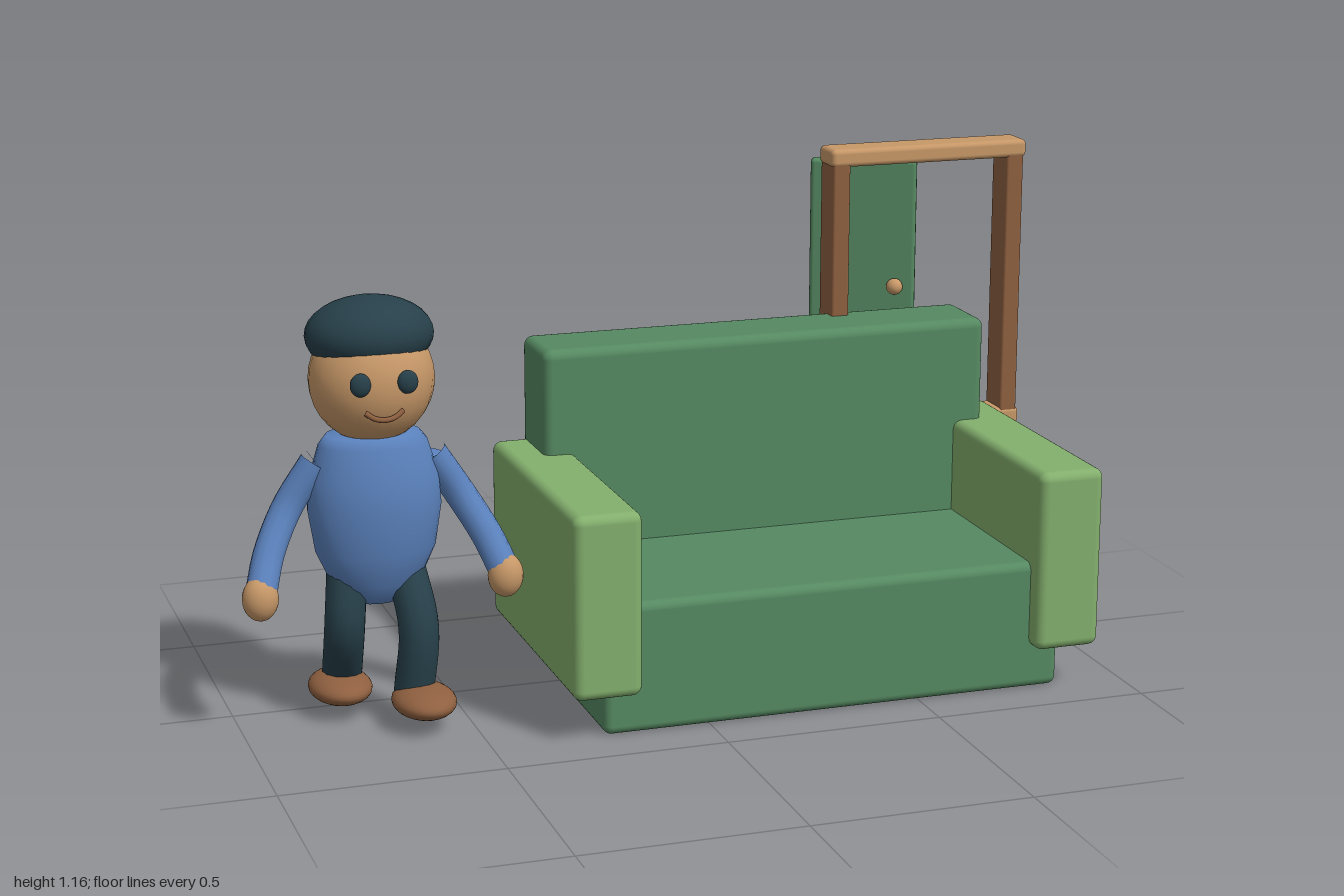
import * as THREE from 'three';
import { RoundedBoxGeometry } from 'three/addons/geometries/RoundedBoxGeometry.js';

const V = (x, y, z) => new THREE.Vector3(x, y, z);

function material(name, color) {
  const m = new THREE.MeshStandardMaterial({ color });
  m.name = name;
  return m;
}

export function createModel() {
  const green = material('sofa green', 0x568a62);
  const lime = material('arm green', 0x83af6d);
  const brown = material('brown', 0x8f6040);
  const tan = material('tan', 0xc79868);
  const blue = material('shirt blue', 0x5b82bd);
  const dark = material('dark slate', 0x27404a);

  function add(parent, name, geometry, mat) {
    const mesh = new THREE.Mesh(geometry, mat);
    mesh.name = name;
    parent.add(mesh);
    return mesh;
  }
  function group(parent, name) {
    const g = new THREE.Group();
    g.name = name;
    parent.add(g);
    return g;
  }
  // rounded box given by its extents
  function box(parent, name, mat, [x0, x1], [y0, y1], [z0, z1], r) {
    const mesh = add(parent, name, new RoundedBoxGeometry(x1 - x0, y1 - y0, z1 - z0, 3, r), mat);
    mesh.position.set((x0 + x1) / 2, (y0 + y1) / 2, (z0 + z1) / 2);
    return mesh;
  }
  function ball(parent, name, mat, pos, radii) {
    const mesh = add(parent, name, new THREE.SphereGeometry(1, 24, 16), mat);
    mesh.position.set(...pos);
    mesh.scale.set(...radii);
    return mesh;
  }
  // bent tube closed by flat discs
  function limb(parent, name, mat, points, r) {
    const curve = new THREE.CatmullRomCurve3(points);
    const g = group(parent, name);
    add(g, name + 'Tube', new THREE.TubeGeometry(curve, 12, r, 12), mat);
    for (const t of [0, 1]) {
      const cap = add(g, name + 'Cap', new THREE.CircleGeometry(r, 12), mat);
      const p = curve.getPoint(t);
      cap.position.copy(p);
      cap.lookAt(p.clone().addScaledVector(curve.getTangent(t), t ? 1 : -1));
    }
  }

  const root = new THREE.Group();
  root.name = 'sofaScene';

  // Sofa
  const sofa = group(root, 'sofa');
  box(sofa, 'seat', green, [-0.247, 0.843], [0, 0.3], [-0.2, 0.385], 0.02);
  box(sofa, 'backrest', green, [-0.247, 0.843], [0.092, 0.765], [-0.255, -0.07], 0.022);
  box(sofa, 'rightArm', lime, [-0.327, -0.17], [0.1, 0.52], [-0.247, 0.428], 0.022);
  box(sofa, 'leftArm', lime, [0.768, 0.925], [0.1, 0.52], [-0.247, 0.428], 0.022);

  // Door frame
  const frame = group(root, 'doorFrame');
  const depth = [-0.288, -0.203];
  box(frame, 'rightPost', brown, [0.505, 0.548], [0.48, 1.14], depth, 0.006);
  box(frame, 'leftPost', brown, [0.95, 0.993], [0.48, 1.14], depth, 0.006);
  box(frame, 'topRail', tan, [0.5, 1.0], [1.122, 1.165], [-0.29, -0.201], 0.012);
  box(frame, 'bottomRail', tan, [0.5, 1.0], [0.46, 0.503], [-0.29, -0.201], 0.012);

  // Open door leaf with knob
  const door = group(root, 'door');
  door.position.set(0.645, 0.813, -0.362);
  door.rotation.y = -0.44;
  box(door, 'doorPanel', green, [-0.128, 0.128], [-0.298, 0.298], [-0.017, 0.017], 0.01);
  ball(door, 'knob', tan, [0.08, -0.01, 0.027], [0.02, 0.02, 0.02]);

  // Walking figure
  const figure = group(root, 'figure');
  figure.position.x = -0.685;

  // Torso: squashed lathe
  const profile = [[0, 0.263], [0.05, 0.272], [0.1, 0.318], [0.135, 0.395], [0.15, 0.49],
    [0.145, 0.56], [0.122, 0.635], [0.105, 0.657], [0, 0.668]].map(p => new THREE.Vector2(...p));
  const torso = add(figure, 'torso', new THREE.LatheGeometry(profile, 28), blue);
  torso.scale.z = 0.68;
  torso.position.z = 0.092;

  // Head, hair and face
  ball(figure, 'head', tan, [0, 0.78, 0.093], [0.139, 0.142, 0.128]);
  ball(figure, 'hair', dark, [0, 0.875, 0.08], [0.142, 0.086, 0.127]).rotation.x = -0.08;
  for (const s of [-1, 1]) ball(figure, 'eye', dark, [s * 0.052, 0.795, 0.215], [0.023, 0.026, 0.014]);
  const mouth = add(figure, 'mouth', new THREE.TubeGeometry(new THREE.CatmullRomCurve3([
    V(-0.042, 0.732, 0.208), V(-0.022, 0.719, 0.213), V(0, 0.715, 0.215),
    V(0.022, 0.719, 0.213), V(0.042, 0.732, 0.208)]), 16, 0.006, 8), brown);
  mouth.position.z = 0.003;

  // Arms, hands, legs and shoes; the left leg steps forward
  for (const s of [-1, 1]) {
    const side = s > 0 ? 'left' : 'right';
    limb(figure, side + 'Sleeve', blue, [V(s * 0.13, 0.6, 0.092), V(s * 0.195, 0.5, 0.088),
      V(s * 0.245, 0.41, 0.125), V(s * 0.27, 0.345, 0.165)], 0.035);
    ball(figure, side + 'Hand', tan, [s * 0.275, 0.326, 0.172], [0.04, 0.05, 0.036]);

    const step = s > 0 ? 0.155 : 0.005;
    limb(figure, side + 'Leg', dark, [V(s * 0.065, 0.35, 0.09), V(s * 0.078, 0.22, s > 0 ? 0.16 : 0.11),
      V(s * 0.065, 0.07, step)], 0.046);
    ball(figure, side + 'Shoe', brown, [s * 0.078, 0.062, step + 0.04], [0.071, 0.035, 0.098]);
  }
  return root;
}
